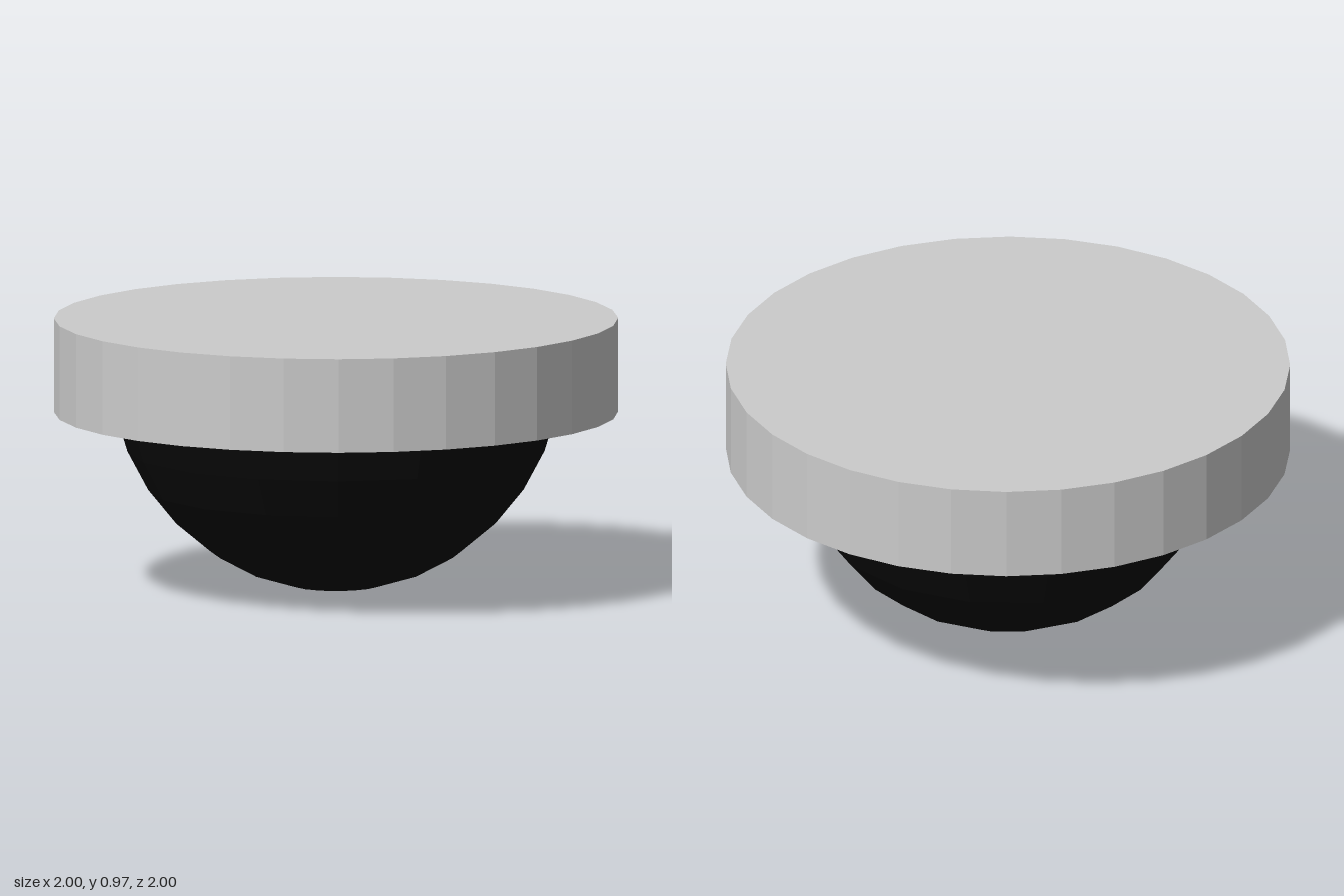
import * as THREE from 'three';

export function createModel() {
  const model = new THREE.Group();

  // Flat round mounting plate
  const plate = new THREE.Mesh(
    new THREE.CylinderGeometry(1, 1, 0.335, 32),
    new THREE.MeshStandardMaterial({ color: 0xcccccc, flatShading: true })
  );
  plate.name = 'mountingPlate';
  plate.position.y = 0.8025;

  // Dark half dome hanging below, its rim hidden inside the plate
  const dome = new THREE.Mesh(
    new THREE.SphereGeometry(0.8, 16, 8, 0, Math.PI * 2, Math.PI / 2, Math.PI / 2),
    new THREE.MeshStandardMaterial({ color: 0x0a0a0a, flatShading: true, side: THREE.DoubleSide })
  );
  dome.name = 'dome';
  dome.position.y = 0.8;

  model.add(plate, dome);
  return model;
}
